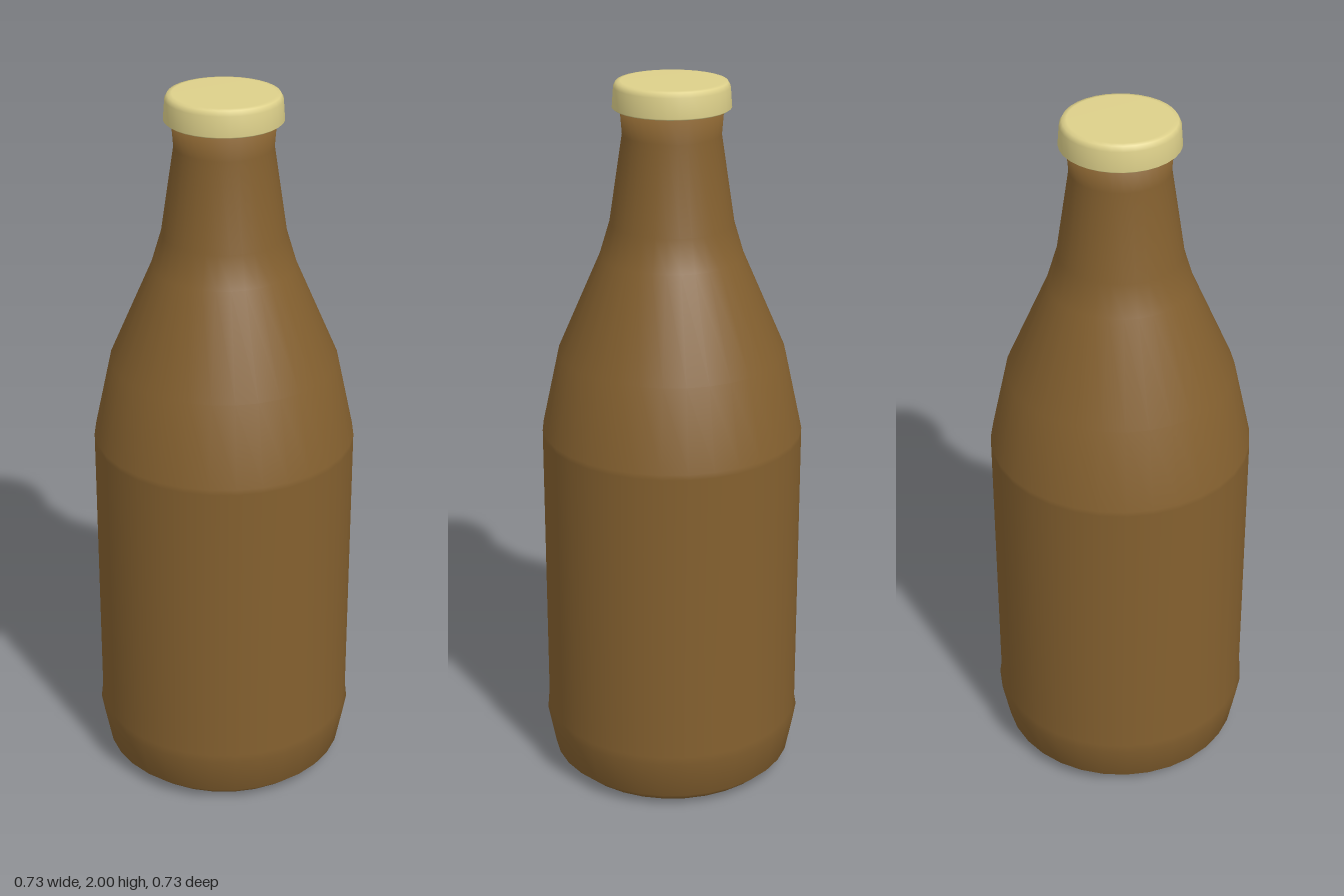
import * as THREE from 'three';

const SIDES = 32;

// Revolve a profile of [radius, height] pairs, listed from bottom to top
function turned(name, profile, color) {
  const points = profile.map(([r, y]) => new THREE.Vector2(r, y));
  const mesh = new THREE.Mesh(
    new THREE.LatheGeometry(points, SIDES),
    new THREE.MeshStandardMaterial({ color })
  );
  mesh.name = name;
  return mesh;
}

export function createModel() {
  const group = new THREE.Group();
  group.name = 'bottle';

  // Glass: base, rounded heel, straight body, sloping shoulder and neck
  group.add(turned('glassBody', [
    [0, 0], [0.295, 0], [0.31, 0.008], [0.345, 0.04], [0.367, 0.155],
    [0.362, 0.175], [0.361, 1.02], [0.361, 1.035],
    [0.312, 1.26], [0.195, 1.53], [0.168, 1.62],
    [0.132, 1.86], [0.138, 1.935], [0, 1.935],
  ], 0x84602f));

  // Cap: slightly flared skirt with a softened top edge
  group.add(turned('cap', [
    [0.125, 1.93], [0.153, 1.928], [0.158, 1.932], [0.154, 1.985],
    [0.147, 1.998], [0.135, 2], [0, 2],
  ], 0xddd08a));

  return group;
}
